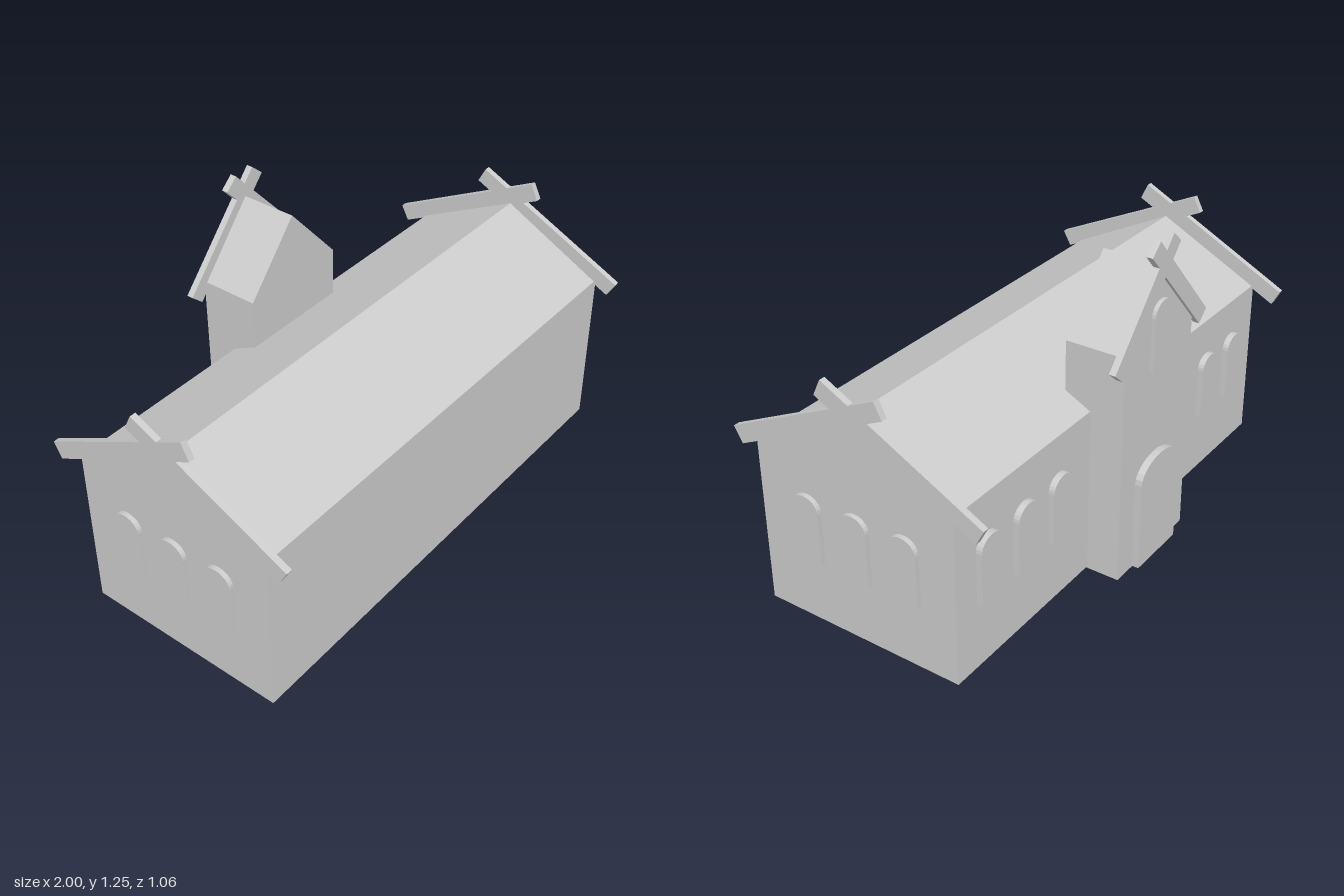
import * as THREE from 'three';

const material = new THREE.MeshStandardMaterial({ color: 0xcccccc, flatShading: true, side: THREE.DoubleSide });

function add(parent, name, geometry, x = 0, y = 0, z = 0) {
  const mesh = new THREE.Mesh(geometry, material);
  mesh.name = name;
  mesh.position.set(x, y, z);
  parent.add(mesh);
  return mesh;
}

// Gabled shell along z with an open underside
function houseShell(halfWidth, base, eave, ridge, zFront, zBack) {
  const outline = [[-halfWidth, base], [-halfWidth, eave], [0, ridge], [halfWidth, eave], [halfWidth, base]];
  const v = [];
  const tri = (...corners) => corners.forEach(([p, z]) => v.push(p[0], p[1], z));
  for (let i = 0; i < 4; i++) {
    const a = outline[i], b = outline[i + 1];
    tri([a, zFront], [b, zFront], [b, zBack]);
    tri([a, zFront], [b, zBack], [a, zBack]);
  }
  for (let i = 1; i < 4; i++) {
    tri([outline[0], zFront], [outline[i + 1], zFront], [outline[i], zFront]);
    tri([outline[0], zBack], [outline[i], zBack], [outline[i + 1], zBack]);
  }
  const g = new THREE.BufferGeometry();
  g.setAttribute('position', new THREE.Float32BufferAttribute(v, 3));
  g.computeVertexNormals();
  return g;
}

// Flat outline given thickness, centred on z = 0
function slab(shape, depth, curveSegments = 6) {
  const g = new THREE.ExtrudeGeometry(shape, { depth, bevelEnabled: false, curveSegments });
  return g.translate(0, 0, -depth / 2);
}

function board(points, depth) {
  return slab(new THREE.Shape(points.map(([x, y]) => new THREE.Vector2(x, y))), depth);
}

// Round-headed panel for windows and the door, standing on y = 0
function archPanel(width, shoulder, top, depth) {
  const w = width / 2;
  const s = new THREE.Shape();
  s.moveTo(-w, 0);
  s.lineTo(w, 0);
  s.lineTo(w, shoulder);
  s.absellipse(0, shoulder, w, top - shoulder, 0, Math.PI, false, 0);
  s.closePath();
  return slab(s, depth);
}

export function createModel() {
  const model = new THREE.Group();
  model.name = 'hall';
  const windowPanel = archPanel(0.117, 0.203, 0.253, 0.044);

  // Long hall: built along z, then turned so its gables face left and right
  const hall = new THREE.Group();
  hall.name = 'mainHall';
  hall.rotation.y = Math.PI / 2;
  model.add(hall);
  add(hall, 'hallWallsAndRoof', houseShell(0.4035, 0.005, 0.652, 0.858, 0.982, -0.982), -0.0325);

  // Crossed gable boards and three windows at each end
  const frontBoard = board([[-0.528, 0.672], [-0.495, 0.614], [0.122, 0.908], [0.092, 0.967]], 0.024);
  const backBoard = board([[0.493, 0.657], [0.462, 0.598], [-0.152, 0.911], [-0.122, 0.973]], 0.024);
  for (const end of [-1, 1]) {
    add(hall, 'frontGableBoard', frontBoard, 0, 0, end * 0.98);
    add(hall, 'backGableBoard', backBoard, 0, 0, end * 0.98);
    for (const i of [-1, 0, 1]) add(hall, 'gableWindow', windowPanel, -0.03 + i * 0.202, 0.257, end * 0.978);
  }

  // Back wall windows on both sides of the tower
  for (const side of [-1, 1]) {
    for (let i = 0; i < 3; i++) add(model, 'backWindow', windowPanel, 0.005 + side * (0.409 + i * 0.201), 0.257, -0.373);
  }

  // Entrance tower
  const tower = new THREE.Group();
  tower.name = 'entranceTower';
  model.add(tower);
  add(tower, 'towerWallsAndRoof', houseShell(0.224, 0, 0.894, 1.147, -0.27, -0.5));
  add(tower, 'towerWindow', windowPanel, 0, 0.77, -0.493);
  add(tower, 'door', archPanel(0.252, 0.349, 0.427, 0.054), 0, 0.003, -0.5);
  const towerBoard = [[-0.303, 0.868], [-0.256, 0.826], [0.092, 1.203], [0.043, 1.246]];
  add(tower, 'rightTowerBoard', board(towerBoard, 0.025), 0, 0, -0.5005);
  add(tower, 'leftTowerBoard', board(towerBoard.map(([x, y]) => [-x, y]), 0.025), 0, 0, -0.5005);

  return model;
}
